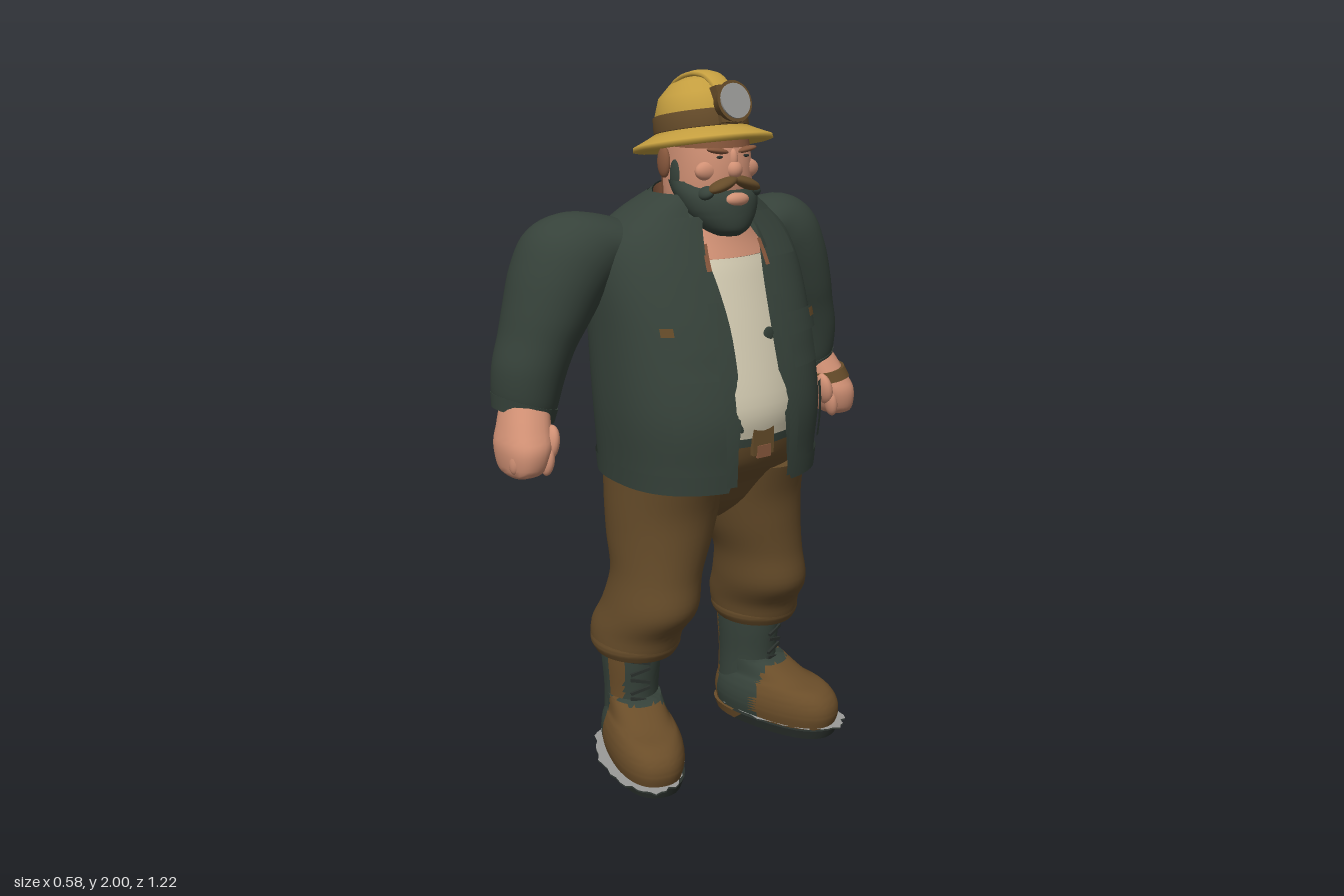
import * as THREE from 'three';
import { toCreasedNormals } from 'three/addons/utils/BufferGeometryUtils.js';

const mat = (name, color) => new THREE.MeshStandardMaterial({ name, color, side: THREE.DoubleSide });
const M = {
  green: mat('dark green cloth', 0x36423a), brown: mat('brown cloth', 0x654b29),
  tan: mat('boot brown', 0x6a4d29), skin: mat('skin', 0xd09074), hair: mat('reddish brown', 0x87573c),
  cream: mat('cream shirt', 0xcfc7ae), yellow: mat('hat yellow', 0xc49e3f), grey: mat('lens grey', 0x9a9a98),
  dark: mat('dark sole', 0x2a302c),
};

// Smooth sample of a list of cross-sections [x, y, z, rx, rz, tilt, halfGap], u from 0 to 1
function sample(rings, u) {
  const n = rings.length - 1, f = Math.min(u * n, n - 1e-6), i = Math.floor(f), t = f - i;
  const at = (k) => rings[Math.max(0, Math.min(n, k))];
  return Array.from({ length: 7 }, (_, k) => {
    const [a, b, c, d] = [at(i - 1), at(i), at(i + 1), at(i + 2)].map((r) => r[k] || 0);
    return b + 0.5 * t * (c - a + t * (2 * a - 5 * b + 4 * c - d + t * (3 * (b - c) + d - a)));
  });
}
const angleOf = (x, rx, e) => Math.asin(Math.pow(Math.min(1, x / rx), 1 / e));

// Skin over cross-sections listed from the bottom up; angle 0 is the front
function loft(name, rings, mats, { seg = 32, e = 1, arc, pitch = 0, pick = () => 0, open = false, steps = 5 } = {}) {
  const pos = [], rows = (rings.length - 1) * steps, groups = [].concat(mats).map(() => []);
  const pw = (v) => Math.sign(v) * Math.pow(Math.abs(v), e);
  for (let i = 0; i <= rows; i++) {
    const [x, y, z, rx, rz, tilt, gap] = sample(rings, i / rows);
    const g = gap > 0 ? angleOf(gap, rx, e) : 0, [a0, a1] = arc || [g, 2 * Math.PI - g];
    for (let j = 0; j <= seg; j++) {
      const t = a0 + (a1 - a0) * j / seg, dx = rx * pw(Math.sin(t)), dz = rz * pw(Math.cos(t));
      pos.push(x + dx * Math.cos(tilt), y + dx * Math.sin(tilt) + dz * pitch, z + dz);
    }
  }
  const tri = (...v) => {
    const c = [0, 1, 2].map((k) => v.reduce((s, p) => s + pos[p * 3 + k], 0) / 3);
    groups[pick(...c)].push(...v);
  };
  const w = seg + 1;
  for (let i = 0; i < rows; i++) for (let j = 0; j < seg; j++) {
    const a = i * w + j;
    tri(a, a + 1, a + w + 1); tri(a, a + w + 1, a + w);
  }
  if (!open) for (const [row, flip] of [[0, true], [rows, false]]) {
    const r = rings[row ? rings.length - 1 : 0], c = pos.length / 3;
    pos.push(r[0], r[1], r[2]);
    for (let j = 0; j < seg; j++) flip ? tri(c, row * w + j + 1, row * w + j) : tri(c, row * w + j, row * w + j + 1);
  }
  const geo = new THREE.BufferGeometry();
  geo.setAttribute('position', new THREE.Float32BufferAttribute(pos, 3));
  geo.setIndex(groups.flat());
  let start = 0;
  groups.forEach((g, k) => { geo.addGroup(start, g.length, k); start += g.length; });
  return mesh(name, toCreasedNormals(geo, 0.9), mats);
}
function mesh(name, geo, material, x = 0, y = 0, z = 0) {
  const m = new THREE.Mesh(geo, material);
  m.name = name; m.position.set(x, y, z);
  return m;
}
function blob(name, m, x, y, z, sx, sy, sz, rz = 0) {
  const b = mesh(name, new THREE.SphereGeometry(1, 20, 14), m, x, y, z);
  b.scale.set(sx, sy, sz); b.rotation.z = rz;
  return b;
}
const mirror = (rings, s) => rings.map(([x, y, z, rx, rz, tilt = 0]) => [s * x, y, z, rx, rz, s * tilt]);

const JACKET = [
  [0, .885, .02, .305, .265, 0, .11], [0, .95, .02, .31, .268, 0, .09], [0, 1.1, .02, .322, .27, 0, .075],
  [0, 1.3, -.01, .322, .25, 0, .068], [0, 1.45, -.04, .318, .222, 0, .08], [0, 1.55, -.055, .29, .19, 0, .1],
  [0, 1.62, -.045, .22, .15, 0, .11], [0, 1.675, -.02, .14, .115, 0, .1]];
const JE = 0.8;

// Raised cloth panel that follows the jacket, between two heights and two sideways distances
function panel(name, m, s, y0, y1, x0, x1, lift) {
  const rings = [0, .33, .67, 1].map((f) => {
    const y = y0 + (y1 - y0) * f;
    let best = null;
    for (let k = 0; k <= 300; k++) {
      const r = sample(JACKET, k / 300);
      if (!best || Math.abs(r[1] - y) < Math.abs(best[1] - y)) best = r;
    }
    return [0, y, best[2], best[3] + lift, best[4] + lift];
  });
  const a = angleOf(x0, rings[1][3], JE), b = angleOf(x1, rings[1][3], JE);
  return loft(name, rings, m, { e: JE, seg: 10, arc: s > 0 ? [a, b] : [-b, -a], open: true, steps: 2 });
}

function makeHat() {
  const hat = new THREE.Group();
  hat.name = 'hat'; hat.position.set(0, 1.803, .003); hat.rotation.x = -0.18;
  const lathe = (name, pts, m) => {
    const l = mesh(name, new THREE.LatheGeometry(pts.map((p) => new THREE.Vector2(...p)), 48), m);
    l.scale.x = 0.92;
    hat.add(l);
  };
  lathe('brimAndDome', [[.1, .01], [.19, -.012], [.205, -.008], [.203, .004], [.16, .022], [.135, .034], [.13, .085],
    [.115, .128], [.078, .162], [.035, .176], [0, .179]], M.yellow);
  lathe('hatBand', [[.135, .034], [.139, .036], [.137, .078], [.128, .082]], M.brown);
  // raised ridge running front to back over the dome
  const ridge = new THREE.CatmullRomCurve3([[-.131, .085], [-.118, .128], [-.08, .166], [-.036, .181], [0, .184],
    [.036, .181], [.08, .166], [.118, .128], [.131, .085]].map(([z, y]) => new THREE.Vector3(0, y, z)));
  const crest = mesh('hatCrest', new THREE.TubeGeometry(ridge, 40, .0102, 10), M.yellow);
  crest.scale.x = 3.2;
  hat.add(crest);
  const lamp = new THREE.Group(), turn = (r1, r2, h) => new THREE.CylinderGeometry(r1, r2, h, 28).rotateX(Math.PI / 2);
  lamp.name = 'lamp'; lamp.position.set(0, .088, .142); lamp.rotation.x = -.12;
  lamp.add(mesh('lampMount', new THREE.BoxGeometry(.07, .1, .03), M.brown, 0, 0, -.015),
    mesh('lampBody', turn(.056, .044, .036), M.brown, 0, 0, .006), mesh('lampLens', turn(.047, .047, .008), M.grey, 0, 0, .025));
  hat.add(lamp);
  return hat;
}

function makeHead() {
  const head = new THREE.Group();
  head.name = 'head';
  head.add(loft('skull', [[0, 1.48, .0, .11, .1], [0, 1.6, .01, .105, .11], [0, 1.68, .02, .113, .13],
    [0, 1.76, .02, .113, .132], [0, 1.85, .01, .11, .12]], [M.skin, M.hair],
  { e: .9, pick: (x, y, z) => (y > 1.8 || (z < -.03 && y > 1.66) ? 1 : 0) }));
  head.add(loft('beard', [[0, 1.565, .115, .035, .042], [0, 1.585, .105, .07, .07], [0, 1.63, .085, .105, .092],
    [0, 1.675, .06, .12, .105], [0, 1.71, .03, .12, .092]], M.green));
  head.add(blob('mouth', M.skin, 0, 1.664, .162, .038, .019, .02));
  head.add(blob('nose', M.skin, 0, 1.742, .148, .024, .024, .022), blob('noseBridge', M.skin, 0, 1.768, .142, .014, .03, .016));
  for (const s of [-1, 1]) {
    head.add(blob('sideburn', M.green, s * .108, 1.725, .03, .011, .045, .024));
    head.add(blob('moustache', M.brown, s * .038, 1.705, .15, .048, .016, .028, -s * .35));
    head.add(blob('moustacheTip', M.green, s * .078, 1.683, .128, .022, .016, .028, -s * .7));
    head.add(blob('ear', M.hair, s * .116, 1.755, -.015, .014, .042, .026));
    head.add(blob('cheek', M.skin, s * .06, 1.74, .116, .044, .028, .022));
    head.add(blob('eyebrow', M.hair, s * .046, 1.793, .138, .036, .008, .014, s * .15));
    head.add(blob('eye', M.dark, s * .044, 1.777, .143, .01, .004, .005));
  }
  return head;
}

function makeArm(s) {
  const arm = new THREE.Group();
  arm.name = 'arm';
  arm.add(loft('sleeve', mirror([[.5, 1.09, -.152, .08, .096, .32], [.498, 1.12, -.15, .09, .108, .3],
    [.486, 1.2, -.142, .098, .116, .25], [.46, 1.28, -.138, .102, .126, .25], [.432, 1.35, -.135, .114, .138, .28],
    [.392, 1.44, -.135, .13, .15, .4], [.345, 1.505, -.13, .14, .148, .62], [.28, 1.535, -.11, .12, .126, .9],
    [.18, 1.51, -.09, .1, .12, 1.2]], s), M.green));
  arm.add(loft('cuff', mirror([[.503, 1.075, -.152, .086, .1, .32], [.498, 1.115, -.15, .092, .109, .31]], s), M.green));
  arm.add(loft('fist', mirror([[.56, .93, -.08, .03, .05], [.553, .95, -.08, .052, .085], [.543, 1.01, -.085, .068, .1],
    [.53, 1.06, -.1, .066, .088], [.51, 1.12, -.125, .062, .075]], s), M.skin, { e: .85 }));
  for (let i = 0; i < 4; i++)
    arm.add(blob('finger', M.skin, s * (.505 + i * .028), .975 + i * .004, -.016 - i * .008, .018, .042, .024, s * .15));
  arm.add(blob('thumb', M.skin, s * .487, 1.02, -.03, .022, .05, .035, s * .2));
  // one wrist wears a strap
  if (s > 0) arm.add(loft('wristStrap', [[.533, 1.045, -.096, .071, .096, .15], [.524, 1.075, -.105, .07, .09, .15]],
    M.brown, { e: .85, steps: 1 }));
  return arm;
}

function makeBoot(s) {
  const boot = new THREE.Group();
  boot.name = 'boot';
  boot.position.set(s * .222, 0, -.05); boot.rotation.y = s * .3;
  // toe cap and heel strip are brown; the outer trim differs on the two boots
  const pick = (x, y, z) => {
    if (z > .13 - Math.abs(x) * .4 || z < -.075) return 1;
    if (s < 0) return x < -.045 && z > .03 ? 1 : 0;
    return x > .045 && !(Math.abs(z + .005) < .022 && y > .15) ? 1 : 0;
  };
  boot.add(loft('shaft', [[0, .08, -.01, .082, .1], [0, .2, -.01, .08, .095], [0, .3, -.008, .087, .102],
    [0, .37, -.008, .09, .105]], [M.green, M.tan], { pick, seg: 48 }));
  boot.add(loft('foot', [[0, .03, .1, .098, .21], [0, .07, .102, .106, .218], [0, .11, .1, .103, .21],
    [0, .14, .09, .092, .185], [0, .158, .06, .082, .145], [0, .2, .01, .078, .105]], [M.green, M.tan], { pick, e: .85, seg: 48 }));
  boot.add(loft('sole', [[0, 0, .1, .098, .21], [0, .03, .1, .107, .221]], [M.dark, M.tan],
    { e: .85, steps: 1, pick: (x, y, z) => (y > .003 && z < .03 ? 1 : 0) }));
  for (let i = 0; i < 5; i++) {
    const lace = mesh('lace', new THREE.BoxGeometry(.06, .009, .008), M.dark, 0, .2 + i * .031, .089 + i * .002);
    lace.rotation.z = i % 2 ? .25 : -.25;
    boot.add(lace);
  }
  // ragged ground-level rim of the sole
  const rim = new THREE.Shape(Array.from({ length: 48 }, (_, i) => {
    const t = i / 48 * Math.PI * 2, k = 1 + .035 * Math.sin(i * 2.3) + .02 * Math.sin(i * 5.1);
    return new THREE.Vector2(s * .013 + .118 * k * Math.sin(t), -.108 - .228 * k * Math.cos(t));
  }));
  const flat = new THREE.ShapeGeometry(rim).rotateX(-Math.PI / 2);
  boot.add(mesh('soleRimTop', flat, M.grey, 0, .036, 0), mesh('soleRimUnder', flat, M.dark, 0, .031, 0));
  return boot;
}

export function createModel() {
  const root = new THREE.Group(), body = new THREE.Group();
  root.name = 'miner'; body.name = 'body';
  root.add(body);
  body.rotation.y = Math.PI / 2;
  body.add(makeHat(), makeHead());

  // Jacket, shirt front and collar
  body.add(loft('jacket', JACKET, M.green, { e: JE, seg: 56, open: true }));
  body.add(loft('shirtFront', [[0, 1.03, .02, .28, .268], [0, 1.12, .02, .29, .276], [0, 1.3, -.01, .29, .25],
    [0, 1.45, -.035, .26, .215], [0, 1.505, -.033, .22, .185]], M.cream, { seg: 20, arc: [-.6, .6], open: true }));
  body.add(blob('shirtPatch', M.green, .055, 1.3, .236, .018, .022, .004));
  body.add(blob('shirtPatch', M.green, -.068, 1.075, .284, .018, .025, .004));
  body.add(loft('chest', [[0, 1.505, -.033, .22, .183], [0, 1.55, -.02, .17, .15], [0, 1.61, 0, .11, .11]], M.skin,
    { seg: 20, arc: [-.9, .9], open: true }));
  body.add(loft('collar', [[0, 1.57, -.005, .205, .185, 0, .1], [0, 1.62, -.005, .175, .158, 0, .09],
    [0, 1.655, -.005, .138, .132, 0, .075]], M.green, { pitch: -.3, open: true }));
  body.add(loft('collarLining', [[0, 1.58, -.005, .125, .122, 0, .08], [0, 1.652, -.005, .135, .13, 0, .08]],
    M.hair, { pitch: -.3, open: true }));
  for (const s of [-1, 1]) {
    body.add(panel('lapel', M.green, s, 1.5, 1.62, .105, .21, .018));
    body.add(panel('lapelEdge', M.hair, s, 1.48, 1.55, .09, .105, .01));
    body.add(panel('pocket', M.green, s, 1.2, 1.31, .13, .25, .006));
    body.add(panel('pocketFlap', M.green, s, 1.29, 1.35, .12, .265, .012));
    body.add(panel('pocketButton', M.brown, s, 1.322, 1.345, .232, .262, .015));
    body.add(panel('sidePocket', M.green, s, .98, 1.14, .23, .255, .01));
    body.add(panel('frontPlacket', M.green, s, .9, 1.4, .09, .125, .006));
  }
  body.add(loft('jacketHem', [[0, .885, .02, .309, .269, 0, .11], [0, .94, .02, .314, .273, 0, .095]], M.green,
    { e: JE, seg: 56, open: true, steps: 2 }));

  // Trousers and belt
  body.add(loft('hips', [[0, .735, .005, .06, .07], [0, .79, .008, .2, .13], [0, .87, .015, .285, .18],
    [0, .95, .02, .295, .235], [0, 1.05, .02, .285, .26]], M.brown));
  body.add(loft('belt', [[0, 1.005, .02, .29, .263], [0, 1.055, .02, .29, .27]], M.green, { steps: 1 }));
  body.add(mesh('buckle', new THREE.BoxGeometry(.07, .1, .014), M.brown, 0, 1.03, .285));
  body.add(mesh('buckleCentre', new THREE.BoxGeometry(.045, .035, .008), M.hair, 0, .99, .291));
  for (const s of [-1, 1]) {
    body.add(makeArm(s), makeBoot(s));
    body.add(loft('trouserLeg', mirror([[.222, .335, -.035, .095, .105], [.222, .36, -.03, .122, .138],
      [.216, .42, -.025, .128, .155], [.2, .5, .02, .128, .165], [.185, .6, .03, .126, .15], [.164, .7, .015, .146, .168],
      [.15, .8, .01, .16, .182], [.145, .9, .015, .16, .208]], s), M.brown));
    body.add(loft('trouserCuff', mirror([[.222, .345, -.03, .115, .13], [.221, .37, -.03, .128, .144],
      [.22, .395, -.03, .125, .145]], s), M.brown));
  }
  return root;
}
